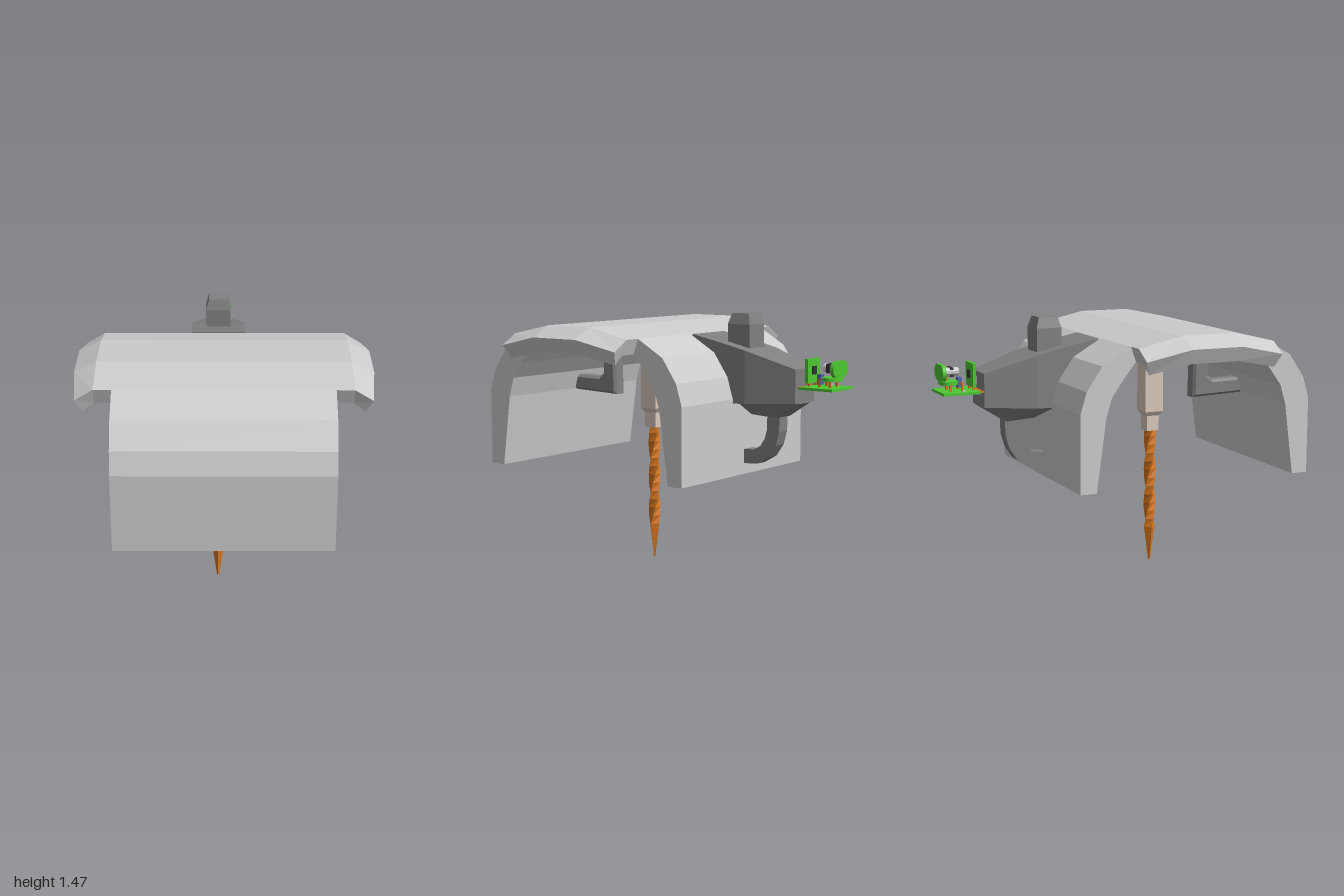
import * as THREE from 'three';

const CX = -0.035; // centre line of the drill, housing and circuit board
const mat = (color) => new THREE.MeshStandardMaterial({ color, flatShading: true });
const grey = mat(0xcccccc), dark = mat(0x808080), orange = mat(0xd9771f), beige = mat(0xd8cabb);
const green = mat(0x4cc832), blue = mat(0x5566aa), black = mat(0x333333);

// Joins closed loops of [x, y, z] points; the ends are capped by pairing point i with point n-1-i.
function loft(loops) {
  const pos = [], n = loops[0].length;
  const quad = (a, b, c, d) => pos.push(...a, ...b, ...c, ...a, ...c, ...d);
  for (let k = 0; k < loops.length - 1; k++)
    for (let i = 0; i < n; i++) {
      const j = (i + 1) % n;
      quad(loops[k][i], loops[k][j], loops[k + 1][j], loops[k + 1][i]);
    }
  const first = loops[0], last = loops[loops.length - 1];
  for (let i = 0; i < n / 2 - 1; i++) {
    quad(first[n - 1 - i], first[n - 2 - i], first[i + 1], first[i]);
    quad(last[i], last[i + 1], last[n - 2 - i], last[n - 1 - i]);
  }
  // turn the surface outward when the enclosed volume is negative
  let volume = 0;
  const v = (i) => new THREE.Vector3().fromArray(pos, i);
  for (let i = 0; i < pos.length; i += 9) volume += v(i).dot(v(i + 3).cross(v(i + 6)));
  if (volume < 0)
    for (let i = 0; i < pos.length; i += 9)
      for (let k = 3; k < 6; k++) [pos[i + k], pos[i + k + 3]] = [pos[i + k + 3], pos[i + k]];
  const g = new THREE.BufferGeometry();
  g.setAttribute('position', new THREE.Float32BufferAttribute(pos, 3));
  g.computeVertexNormals();
  return g;
}

// Horizontal rectangle around the centre line
const rect = (y, hx, z0, z1) => [[CX - hx, y, z0], [CX + hx, y, z0], [CX + hx, y, z1], [CX - hx, y, z1]];

// Square cross-section at height y, turned by an angle
const square = (y, r, turn) => [0, 1, 2, 3].map((i) => {
  const a = turn + (i * Math.PI) / 2;
  return [CX + r * Math.cos(a), y, 0.273 + r * Math.sin(a)];
});

export function createModel() {
  const root = new THREE.Group();
  const add = (name, geometry, material, parent = root) => {
    const m = new THREE.Mesh(geometry, material);
    m.name = name;
    parent.add(m);
    return m;
  };
  const box = (name, material, parent, x0, x1, y0, y1, z0, z1) =>
    add(name, new THREE.BoxGeometry(x1 - x0, y1 - y0, z1 - z0), material, parent)
      .position.set((x0 + x1) / 2, (y0 + y1) / 2, (z0 + z1) / 2);

  // Arched shell: half profiles as [distance from z = 0.3, y], mirrored front to back
  const arch = (half) => [...half, ...half.map(([d, y]) => [-d, y]).reverse()];
  const outer = arch([[0.697, 0.57], [0.697, 1.0], [0.66, 1.12], [0.57, 1.25], [0.405, 1.345], [0.15, 1.4]]);
  const inner = arch([[0.603, 0.57], [0.548, 0.97], [0.515, 1.08], [0.45, 1.17], [0.38, 1.26], [0.14, 1.315]]);
  const profile = [...outer, ...inner.reverse()];
  add('archedShell', loft([-0.575, 0.575].map((x) => profile.map(([d, y]) => [x, y, 0.3 + d]))), grey);

  // Drooping side flaps
  for (const s of [-1, 1]) {
    const section = (xs, ys) => [0.405, 0.15, -0.15, -0.405, -0.375, -0.14, 0.14, 0.375].map((d, i) => {
      const k = (i > 3 ? 2 : 0) + (Math.abs(d) < 0.2 ? 1 : 0);
      return [s * xs[k], ys[k], 0.3 + d];
    });
    const flat = [1.345, 1.4, 1.26, 1.315];
    add(s > 0 ? 'leftFlap' : 'rightFlap', loft([
      section([0.57, 0.57, 0.57, 0.57], flat),
      section([0.67, 0.67, 0.67, 0.67], flat),
      section([0.768, 0.79, 0.73, 0.755], [1.285, 1.34, 1.212, 1.26]),
    ]), grey);
  }

  // Drill holder and twisted bit
  const q = Math.PI / 4;
  add('drillHolder', loft([
    square(1.33, 0.078, q), square(0.89, 0.078, q), square(0.86, 0.05, q),
  ]), beige);
  add('drillCollar', loft([square(0.865, 0.054, q), square(0.777, 0.054, q)]), beige);
  const bit = [];
  for (let i = 0; i <= 12; i++) bit.push(square(0.79 - 0.59 * (i / 12), 0.034, (i / 12) * Math.PI * 1.5));
  bit.push(square(0, 0.006, Math.PI * 1.6));
  add('drillBit', loft(bit), orange);

  // Bracket under the front of the shell
  const bracket = new THREE.Shape([
    [0.88, 0.965], [0.53, 0.953], [0.54, 1.31], [0.64, 1.31], [0.63, 1.075], [0.66, 1.05], [0.86, 1.055],
  ].map(([z, y]) => new THREE.Vector2(-z, y)));
  const bg = new THREE.ExtrudeGeometry(bracket, {
    depth: 0.06, bevelEnabled: true, bevelSize: 0.015, bevelOffset: -0.015, bevelThickness: 0.015, bevelSegments: 1,
  });
  bg.rotateY(Math.PI / 2).translate(CX - 0.03, 0, 0);
  add('frontBracket', bg, dark);

  // Rear housing: [z, half width, top, lower side edge, keel]
  const hull = [
    [-0.12, 0.15, 1.345, 1.31, 1.3], [-0.27, 0.15, 1.315, 1.13, 1.12], [-0.39, 0.15, 1.29, 0.975, 0.97],
    [-0.475, 0.15, 1.27, 0.98, 0.917], [-0.63, 0.121, 1.222, 0.987, 0.905], [-0.767, 0.095, 1.18, 0.995, 0.99],
  ].map(([z, w, top, side, keel]) =>
    [[CX - w, top, z], [CX - w, side, z], [CX - w * 0.55, keel, z],
      [CX + w * 0.55, keel, z], [CX + w, side, z], [CX + w, top, z]]);
  add('rearHousing', loft(hull), dark);
  add('topKnob', loft([
    rect(1.24, 0.07, -0.305, -0.45), rect(1.405, 0.07, -0.305, -0.45), rect(1.465, 0.053, -0.322, -0.432),
  ]), dark);

  // Curved handle below the housing, as [z, y] path with a square section
  const path = [[-0.592, 0.94], [-0.59, 0.83], [-0.572, 0.765], [-0.535, 0.71], [-0.475, 0.675], [-0.37, 0.67]];
  add('rearHandle', loft(path.map(([z, y], i) => {
    const a = path[Math.max(i - 1, 0)], b = path[Math.min(i + 1, path.length - 1)];
    const l = Math.hypot(b[0] - a[0], b[1] - a[1]);
    const nz = (-(b[1] - a[1]) / l) * 0.04, ny = ((b[0] - a[0]) / l) * 0.04;
    return [[-0.04, 1], [0.04, 1], [0.04, -1], [-0.04, -1]].map(([x, t]) => [CX + x, y + t * ny, z + t * nz]);
  })), dark);

  // Circuit board with its components
  const board = new THREE.Group();
  board.name = 'circuitBoard';
  root.add(board);
  box('boardPlate', green, board, -0.145, 0.065, 1.074, 1.088, -1.0, -0.793);
  for (let i = 0; i < 5; i++) {
    const x = -0.12 + i * 0.034;
    box('edgePin', orange, board, x, x + 0.018, 1.076, 1.086, -0.81, -0.76);
  }
  box('frontCard', green, board, -0.1, 0.02, 1.105, 1.235, -0.82, -0.802);
  box('cardFace', grey, board, -0.085, 0.005, 1.12, 1.22, -0.803, -0.796);
  box('cardChip', black, board, -0.06, -0.02, 1.15, 1.195, -0.826, -0.818);
  for (const z of [-0.81, -0.875, -0.94])
    for (const x of [-0.08, -0.01]) box('post', orange, board, x - 0.006, x + 0.006, 1.085, 1.135, z - 0.006, z + 0.006);
  box('blueBlock', blue, board, -0.04, -0.005, 1.1, 1.155, -0.885, -0.862);

  // Rounded plates: one lying, one upright at the back
  const pill = (w, h, depth) => {
    const s = new THREE.Shape(), r = h / 2, c = w / 2 - r;
    s.absarc(c, 0, r, -Math.PI / 2, Math.PI / 2).absarc(-c, 0, r, Math.PI / 2, Math.PI * 1.5);
    return new THREE.ExtrudeGeometry(s, { depth, bevelEnabled: false, curveSegments: 6 });
  };
  add('lyingPlate', pill(0.13, 0.095, 0.02).rotateX(-Math.PI / 2).translate(CX, 1.122, -0.94), green, board);
  add('uprightPlate', pill(0.15, 0.088, 0.02).translate(CX, 1.188, -0.99), green, board);
  const motor = add('smallMotor', new THREE.CylinderGeometry(0.024, 0.024, 0.075, 10), grey, board);
  motor.rotation.x = Math.PI / 2;
  motor.position.set(CX - 0.01, 1.19, -0.925);
  box('motorBand', black, board, CX - 0.03, CX + 0.03, 1.165, 1.215, -0.935, -0.918);
  box('motorFoot', orange, board, CX - 0.012, CX + 0.012, 1.135, 1.17, -0.965, -0.945);
  const screw = add('screw', new THREE.CylinderGeometry(0.011, 0.011, 0.01, 8), grey, board);
  screw.position.set(-0.12, 1.091, -0.88);
  return root;
}
